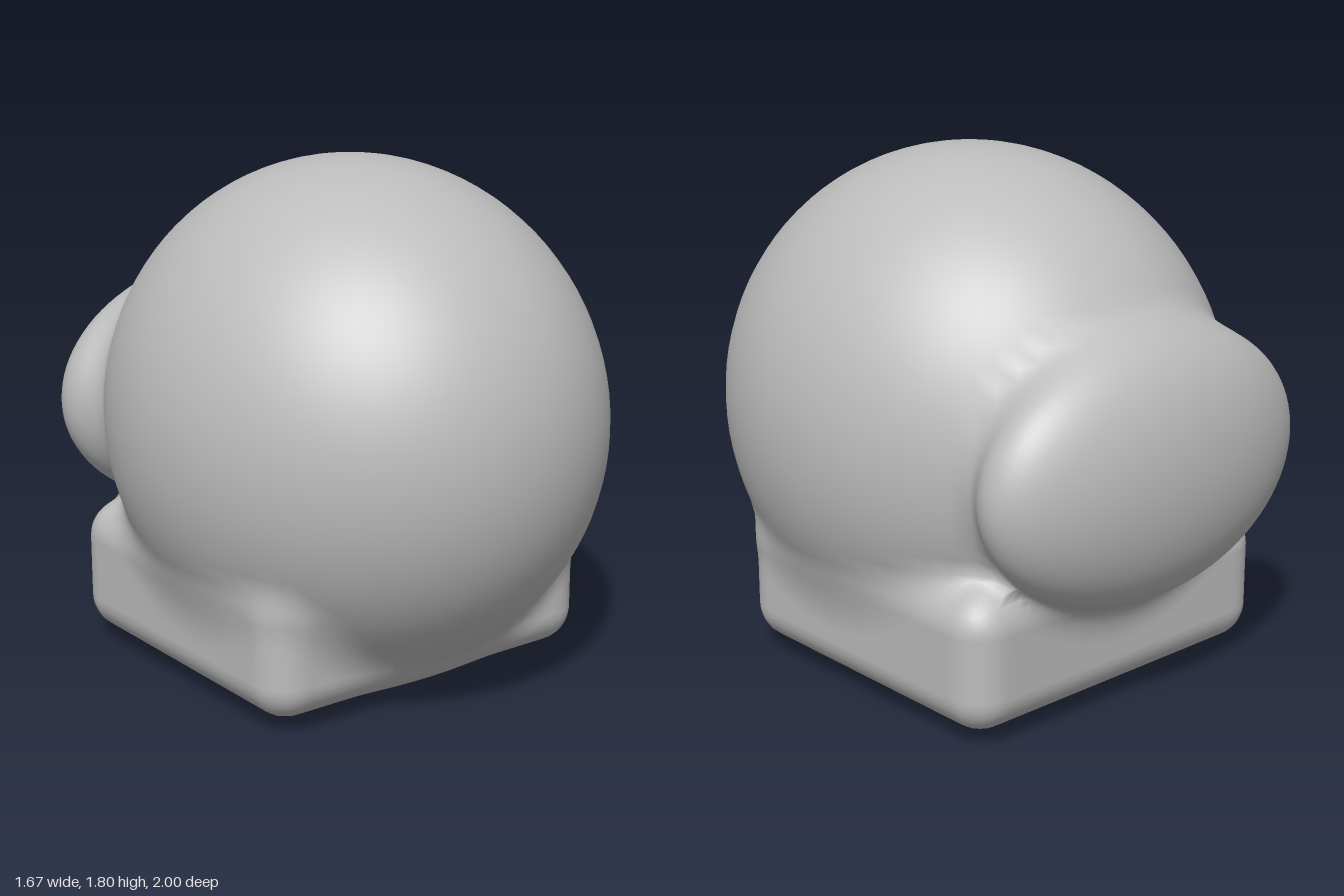
import * as THREE from 'three';

// Centres and radii / half sizes of the three soft volumes
const BODY = { c: new THREE.Vector3(0, 0.905, 0.07), r: new THREE.Vector3(0.835, 0.895, 0.93) };
const TAIL = { c: new THREE.Vector3(0, 0.865, -0.74), r: new THREE.Vector3(0.68, 0.465, 0.26) };
const BASE = { c: new THREE.Vector3(0, 0.285, -0.075), r: new THREE.Vector3(0.675, 0.24, 0.62) };
const ROUND = 0.13; // edge radius of the base
const BLEND = 0.1; // width of the fillets between volumes

function ellipsoidDistance(p, { c, r }) {
  const q = p.clone().sub(c).divide(r);
  const k = q.length();
  return k * (k - 1) / Math.max(q.divide(r).length(), 1e-6);
}

function boxDistance(p, { c, r }) {
  const q = p.clone().sub(c);
  q.set(Math.abs(q.x), Math.abs(q.y), Math.abs(q.z)).sub(r).addScalar(ROUND);
  const inside = Math.min(Math.max(q.x, q.y, q.z), 0);
  return q.max(new THREE.Vector3()).length() + inside - ROUND;
}

function softMin(a, b) {
  const h = Math.max(BLEND - Math.abs(a - b), 0) / BLEND;
  return Math.min(a, b) - h * h * BLEND / 4;
}

const distance = (p) => softMin(
  softMin(ellipsoidDistance(p, BODY), ellipsoidDistance(p, TAIL)), boxDistance(p, BASE));

function gradient(p) {
  const e = 0.002;
  const along = (x, y, z) => {
    const d = new THREE.Vector3(x, y, z).multiplyScalar(e);
    return distance(p.clone().add(d)) - distance(p.clone().sub(d));
  };
  return new THREE.Vector3(along(1, 0, 0), along(0, 1, 0), along(0, 0, 1)).normalize();
}

// Pull vertices near the joined skin onto it, so the parts melt together
function blendedMesh(name, geometry, material) {
  const pos = geometry.attributes.position;
  const nor = geometry.attributes.normal;
  const p = new THREE.Vector3();
  for (let i = 0; i < pos.count; i++) {
    p.fromBufferAttribute(pos, i);
    if (distance(p) < -0.07) continue; // buried inside another part
    for (let n = 0; n < 5; n++) p.addScaledVector(gradient(p), -distance(p));
    const g = gradient(p);
    pos.setXYZ(i, p.x, p.y, p.z);
    nor.setXYZ(i, g.x, g.y, g.z);
  }
  const mesh = new THREE.Mesh(geometry, material);
  mesh.name = name;
  return mesh;
}

const ellipsoid = ({ c, r }) => new THREE.SphereGeometry(1, 72, 48)
  .scale(r.x, r.y, r.z).translate(c.x, c.y, c.z);

export function createModel() {
  const group = new THREE.Group();
  group.name = 'roundFigure';
  const grey = new THREE.MeshStandardMaterial({ color: 0xbcbcbc });
  grey.name = 'plain grey';

  // Large egg-shaped body
  group.add(blendedMesh('body', ellipsoid(BODY), grey));

  // Wide flattened pad on the back
  group.add(blendedMesh('backPad', ellipsoid(TAIL), grey));

  // Square rounded base
  const { c, r } = BASE;
  const box = new THREE.BoxGeometry(r.x * 2, r.y * 2, r.z * 2, 36, 18, 36).translate(c.x, c.y, c.z);
  group.add(blendedMesh('base', box, grey));

  return group;
}
